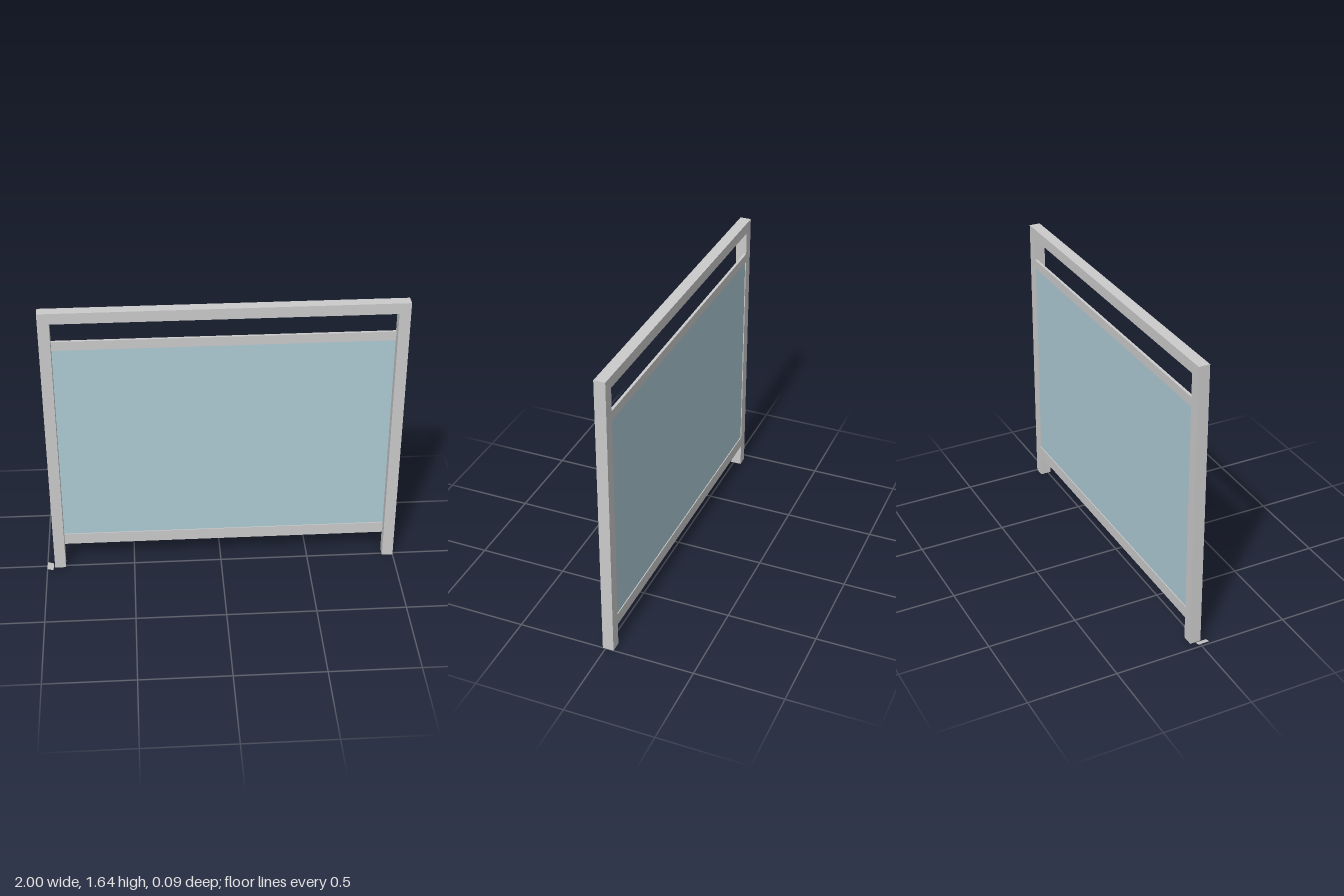
import * as THREE from 'three';

export function createModel() {
  const group = new THREE.Group();
  const grey = new THREE.MeshStandardMaterial({ color: 0xcccccc });
  const glass = new THREE.MeshStandardMaterial({ color: 0xaeccd6 });
  const thin = new THREE.MeshStandardMaterial({ color: 0xcccccc, side: THREE.DoubleSide });

  const add = (name, geometry, material) => {
    const mesh = new THREE.Mesh(geometry, material);
    mesh.name = name;
    group.add(mesh);
    return mesh;
  };
  // Box given by its minimum and maximum corners
  const box = (name, [x0, x1], [y0, y1], [z0, z1], material = grey) =>
    add(name, new THREE.BoxGeometry(x1 - x0, y1 - y0, z1 - z0), material)
      .position.set((x0 + x1) / 2, (y0 + y1) / 2, (z0 + z1) / 2);

  const left = -0.957, right = 1, tube = 0.062, top = 1.645;
  const back = -0.046, front = 0.016;
  const inner = [left + tube, right - tube];

  // Outer frame: two posts and a handrail as one square-section hoop
  const hoop = new THREE.Shape([
    [left, 0], [inner[0], 0], [inner[0], top - tube], [inner[1], top - tube],
    [inner[1], 0], [right, 0], [right, top], [left, top],
  ].map(([x, y]) => new THREE.Vector2(x, y)));
  add('postsAndHandrail',
    new THREE.ExtrudeGeometry(hoop, { depth: front - back, bevelEnabled: false }), grey)
    .position.z = back;

  // Thin rails flush with the back of the posts, holding the glass
  const railDepth = [back, back + 0.015];
  box('upperRail', inner, [1.4, 1.453], railDepth);
  box('lowerRail', inner, [0.132, 0.2], railDepth);
  box('glassPanel', inner, [0.2, 1.4], [back + 0.005, back + 0.01], glass);

  // Small loose tab beside the right post, rising outwards
  const tab = new THREE.PlaneGeometry(0.036, 0.065);
  tab.rotateX(-Math.PI / 2);
  tab.rotateZ(-0.3);
  add('footTab', tab, thin).position.set(-0.982, 0.009, 0.0135);

  return group;
}
